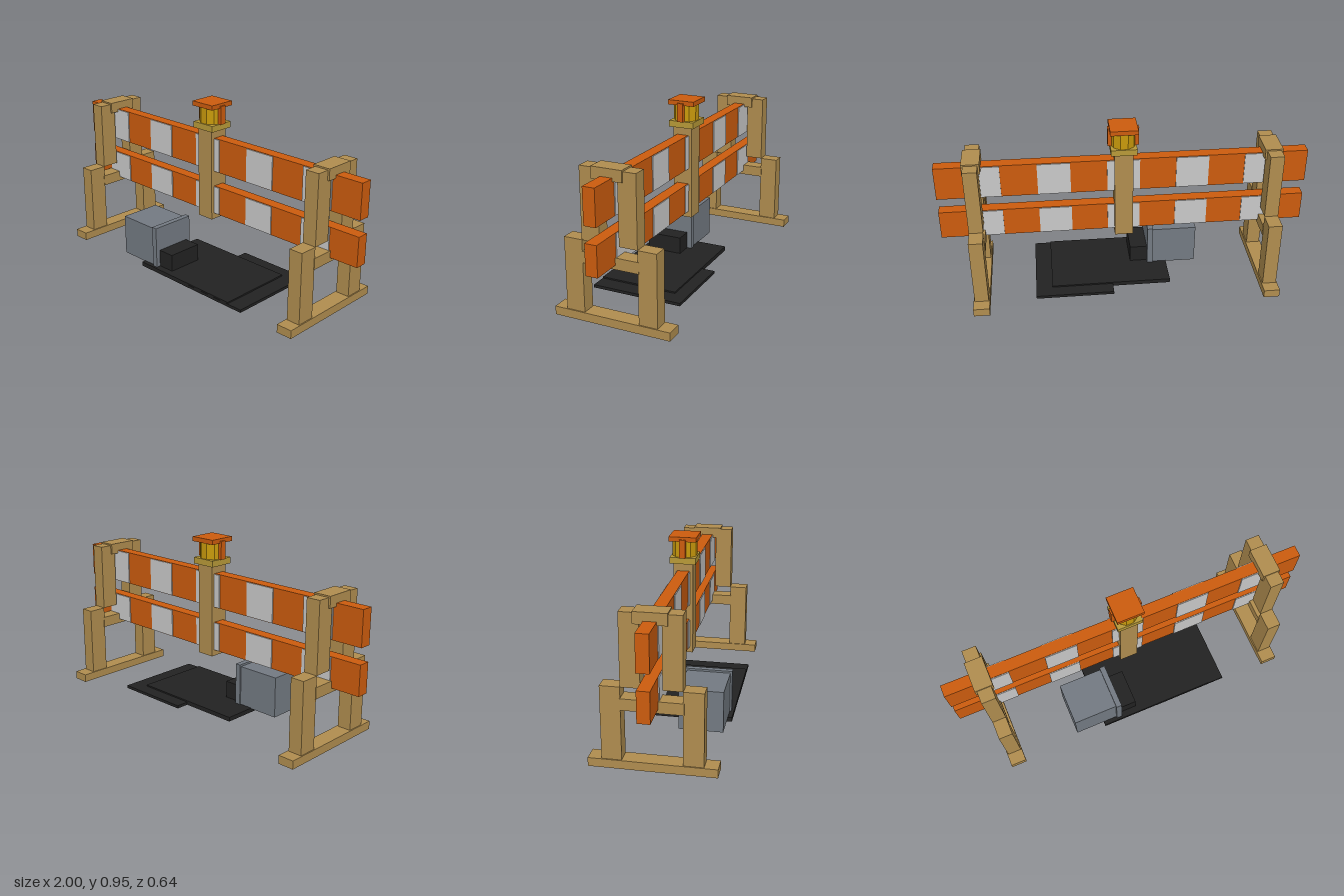
import * as THREE from 'three';

const paint = (name, color) => {
  const m = new THREE.MeshStandardMaterial({ color });
  m.name = name;
  return m;
};

export function createModel() {
  const wood = paint('wood', 0xb08d4f);
  const orange = paint('orange', 0xcc5c0e);
  const white = paint('reflective white', 0xc9c9c9);
  const black = paint('black rubber', 0x222222);
  const grey = paint('grey metal', 0x737a82);
  const amber = paint('amber lens', 0xc99a0c);
  const brass = paint('lamp base', 0xb89a38);
  amber.flatShading = true;

  const model = new THREE.Group();
  model.name = 'barricade';

  // Box given by its extents on each axis
  const box = (parent, name, mat, [x0, x1], [y0, y1], [z0, z1]) => {
    const mesh = new THREE.Mesh(new THREE.BoxGeometry(x1 - x0, y1 - y0, z1 - z0), mat);
    mesh.position.set((x0 + x1) / 2, (y0 + y1) / 2, (z0 + z1) / 2);
    mesh.name = name;
    parent.add(mesh);
    return mesh;
  };

  // Two wooden end frames
  for (const side of [-1, 1]) {
    const frame = new THREE.Group();
    frame.name = side < 0 ? 'rightFrame' : 'leftFrame';
    frame.position.x = side * 0.8;
    model.add(frame);
    const w = [-0.038, 0.038];
    box(frame, 'foot', wood, [-0.044, 0.044], [0, 0.045], [-0.318, 0.318]);
    box(frame, 'crossbar', wood, [-0.041, 0.041], [0.31, 0.37], [-0.155, 0.155]);
    box(frame, 'topBlock', wood, [-0.048, 0.048], [0.748, 0.808], [-0.082, 0.082]);
    box(frame, 'frontLeg', wood, w, [0.045, 0.428], [0.15, 0.25]);
    box(frame, 'backLeg', wood, w, [0.045, 0.428], [-0.25, -0.15]);
    box(frame, 'frontUpright', wood, w, [0.428, 0.8], [0.053, 0.15]);
    box(frame, 'backUpright', wood, w, [0.428, 0.8], [-0.15, -0.053]);
  }

  // Striped boards with thin white plates on both faces
  for (const [name, y0, y1] of [['upperBoard', 0.577, 0.765], ['lowerBoard', 0.332, 0.493]]) {
    const board = new THREE.Group();
    board.name = name;
    model.add(board);
    box(board, 'plank', orange, [-1, 1], [y0, y1], [-0.032, 0.032]);
    for (const x of [-0.744, -0.372, 0, 0.372, 0.744]) {
      const span = [x - 0.088, x + 0.088];
      const height = [y0 + 0.003, y1 - 0.003];
      box(board, 'frontStripe', white, span, height, [0.032, 0.037]);
      box(board, 'backStripe', white, span, height, [-0.037, -0.032]);
    }
  }

  // Centre post
  box(model, 'centrePost', wood, [-0.05, 0.05], [0.3, 0.81], [-0.053, 0.053]);

  // Warning lamp
  const lamp = new THREE.Group();
  lamp.name = 'warningLamp';
  model.add(lamp);
  box(lamp, 'lampBase', brass, [-0.07, 0.07], [0.808, 0.842], [-0.07, 0.07]);
  const lens = new THREE.Mesh(new THREE.CylinderGeometry(0.067, 0.067, 0.09, 10), amber);
  lens.name = 'lens';
  lens.rotation.y = Math.PI / 2;
  lens.position.y = 0.886;
  lamp.add(lens);
  for (const s of [-1, 1]) {
    box(lamp, 'lampGuard', orange, s < 0 ? [-0.083, -0.057] : [0.057, 0.083], [0.842, 0.942], [-0.017, 0.017]);
  }
  box(lamp, 'lampCap', orange, [-0.074, 0.074], [0.93, 0.955], [-0.074, 0.074]);

  // Overlapping floor mats
  box(model, 'lowerMat', black, [0.07, 0.503], [0, 0.016], [-0.203, 0.305]);
  box(model, 'upperMat', black, [-0.255, 0.412], [0, 0.024], [-0.13, 0.304]);

  // Grey cabinet with a front panel and a dark block beside it
  box(model, 'cabinet', grey, [-0.423, -0.175], [0.02, 0.247], [0.046, 0.281]);
  box(model, 'cabinetPanel', grey, [-0.176, -0.145], [0.022, 0.258], [0.038, 0.291]);
  box(model, 'cabinetBlock', black, [-0.145, -0.048], [0.02, 0.12], [0.065, 0.266]);

  return model;
}
